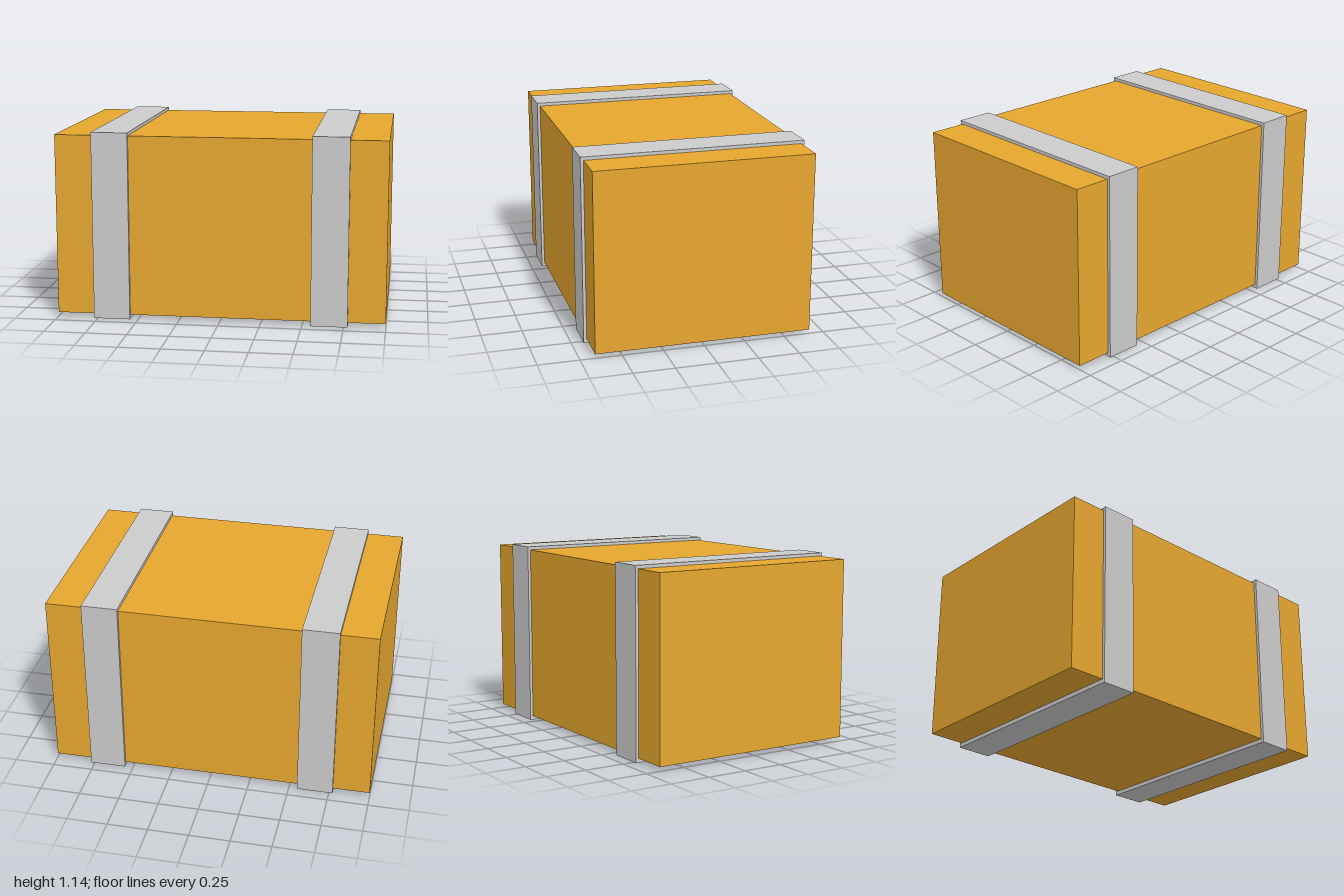
import * as THREE from 'three';

export function createModel() {
  const model = new THREE.Group();
  model.name = 'strappedCrate';

  const crateMaterial = new THREE.MeshStandardMaterial({ color: 0xe6a62e, flatShading: true });
  const strapMaterial = new THREE.MeshStandardMaterial({ color: 0xcccccc, flatShading: true });

  function addBox(name, size, position, material) {
    const mesh = new THREE.Mesh(new THREE.BoxGeometry(...size), material);
    mesh.name = name;
    mesh.position.set(...position);
    model.add(mesh);
  }

  // Crate body
  addBox('crateBody', [2, 1.1, 1.32], [0, 0.575, 0], crateMaterial);

  // Two straps that wrap the crate and lift it slightly off the ground
  for (const [name, side] of [['leftStrap', 1], ['rightStrap', -1]]) {
    addBox(name, [0.222, 1.145, 1.356], [side * 0.662, 0.5725, 0], strapMaterial);
  }

  return model;
}
